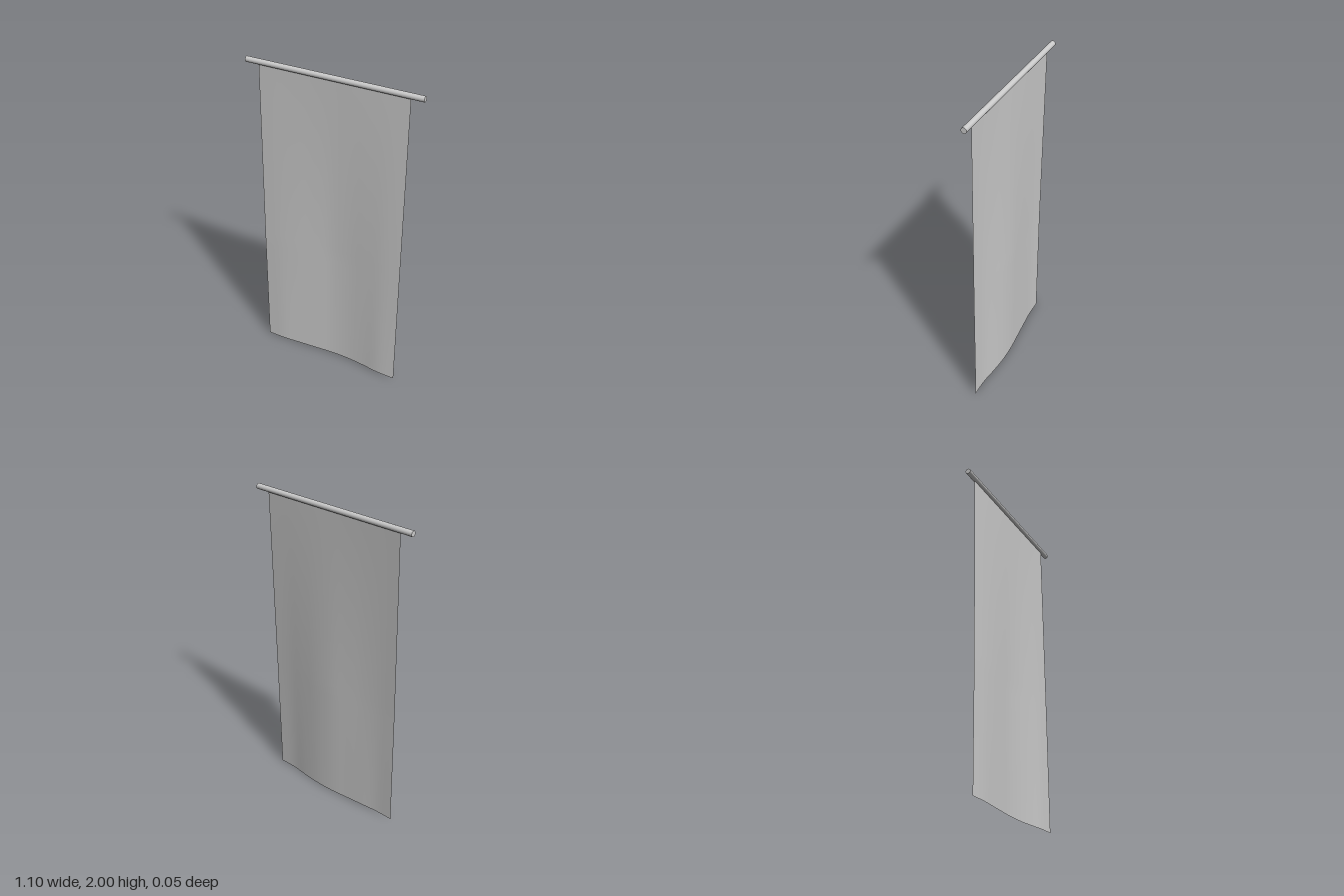
import * as THREE from 'three';

const ROD_Z = -0.01, ROD_Y = 1.983, ROD_R = 0.017;
const CLOTH_W = 0.94, CLOTH_TOP = 1.975;

// Smooth depth profile across the cloth, given evenly spaced depths
function profile(depths) {
  const curve = new THREE.SplineCurve(depths.map((z, i) => new THREE.Vector2(i, z)));
  return (u) => curve.getPoint(u).y;
}

export function createModel() {
  const group = new THREE.Group();
  const grey = new THREE.MeshStandardMaterial({ color: 0xcccccc });
  const clothGrey = new THREE.MeshStandardMaterial({ color: 0xcccccc, side: THREE.DoubleSide });

  // Horizontal hanging rod
  const rod = new THREE.Mesh(new THREE.CylinderGeometry(ROD_R, ROD_R, 1.1, 24), grey);
  rod.name = 'rod';
  rod.rotation.z = Math.PI / 2;
  rod.position.set(0, ROD_Y, ROD_Z);
  group.add(rod);

  // Thin cloth: flat at the rod, gently waved towards the hem
  const hem = profile([0.02, 0.021, 0.012, 0.003, -0.006, -0.006, 0.004, 0.019, 0.021]);
  const middle = profile([0.012, 0.012, 0.006, -0.004, -0.013, -0.012, -0.003, 0.007, 0.01]);
  const geo = new THREE.PlaneGeometry(CLOTH_W, CLOTH_TOP, 32, 40);
  geo.translate(0, CLOTH_TOP / 2, 0);
  const pos = geo.attributes.position;
  for (let i = 0; i < pos.count; i++) {
    const u = pos.getX(i) / CLOTH_W + 0.5;
    const drop = 1 - pos.getY(i) / CLOTH_TOP;
    const z = drop < 0.6
      ? THREE.MathUtils.lerp(ROD_Z, middle(u), drop / 0.6)
      : THREE.MathUtils.lerp(middle(u), hem(u), (drop - 0.6) / 0.4);
    pos.setZ(i, z);
  }
  geo.computeVertexNormals();
  const cloth = new THREE.Mesh(geo, clothGrey);
  cloth.name = 'cloth';
  group.add(cloth);

  return group;
}
